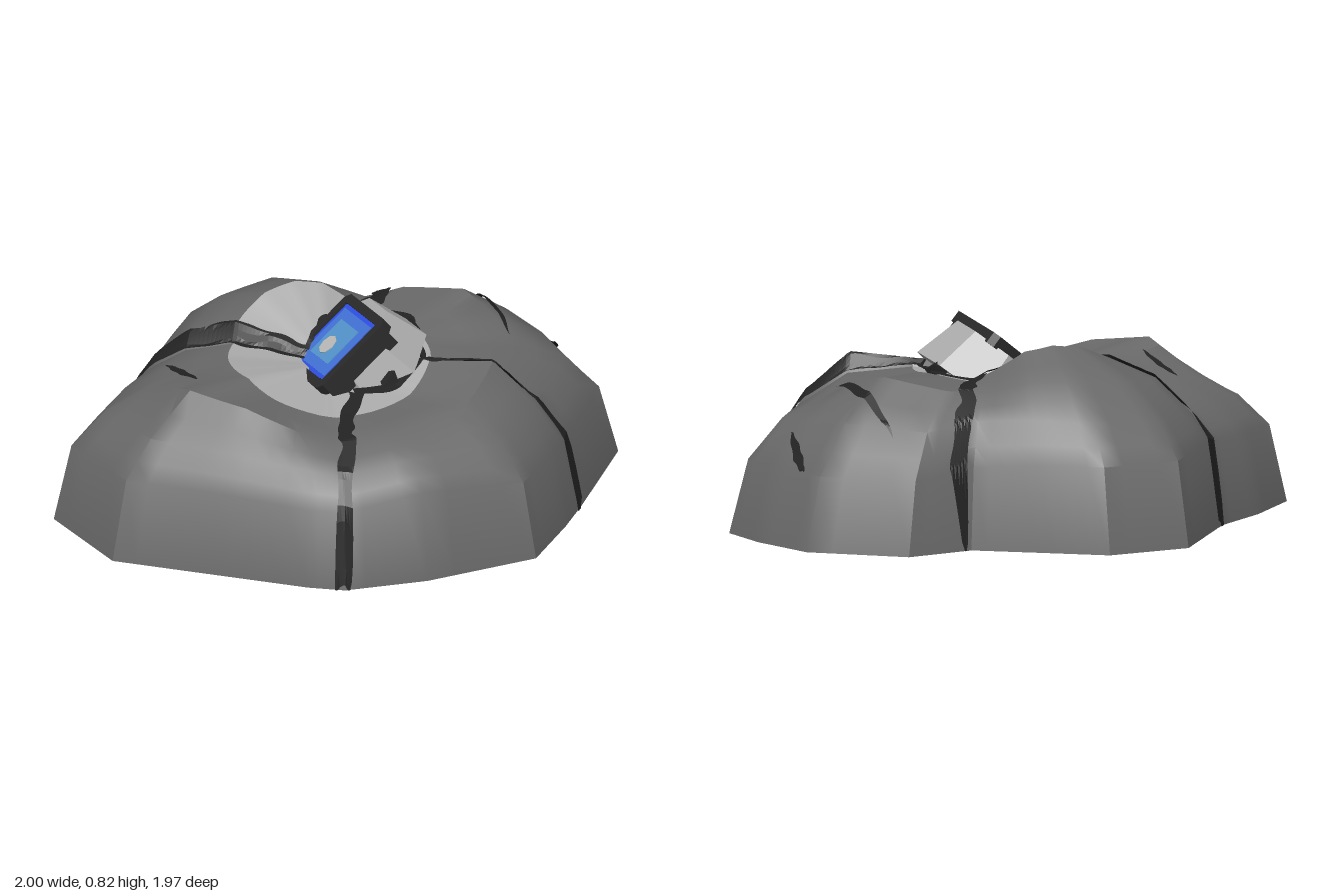
import * as THREE from 'three';
import { toCreasedNormals } from 'three/addons/utils/BufferGeometryUtils.js';

const mat = (name, color, side = THREE.FrontSide) =>
  Object.assign(new THREE.MeshStandardMaterial({ color, side }), { name });

// Boulder footprint, clockwise seen from above: x, z, then height at the hollow, crown, shoulder and flank.
// Close pairs of points make the steps along the left and right cracks.
const RIM = [
  [-0.08, -0.77, 0.66, 0.6, 0.51, 0.33], [0.12, -0.99, 0.61, 0.62, 0.48, 0.3], [0.55, -0.99, 0.62, 0.66, 0.5, 0.3],
  [0.8, -0.82, 0.62, 0.62, 0.48, 0.3], [0.97, -0.65, 0.61, 0.56, 0.46, 0.3], [0.99, -0.11, 0.6, 0.57, 0.45, 0.3],
  [0.99, -0.05, 0.62, 0.64, 0.48, 0.31], [0.99, 0.1, 0.6, 0.62, 0.47, 0.31], [0.97, 0.43, 0.55, 0.57, 0.46, 0.32],
  [0.62, 0.77, 0.53, 0.54, 0.48, 0.37], [0.33, 0.96, 0.52, 0.51, 0.44, 0.32], [0.18, 0.98, 0.53, 0.53, 0.45, 0.32],
  [-0.25, 0.98, 0.57, 0.62, 0.48, 0.34], [-0.65, 0.98, 0.62, 0.65, 0.49, 0.34], [-1, 0.67, 0.61, 0.56, 0.45, 0.32],
  [-0.97, 0.35, 0.6, 0.55, 0.45, 0.33], [-0.9, 0.07, 0.6, 0.54, 0.45, 0.34], [-0.9, 0, 0.67, 0.6, 0.48, 0.35],
  [-0.91, -0.48, 0.74, 0.63, 0.49, 0.35], [-0.65, -0.73, 0.76, 0.66, 0.51, 0.35], [-0.35, -0.75, 0.74, 0.65, 0.52, 0.35],
];
const CX = -0.02, CZ = 0.08, HOLLOW = 0.41, FLOOR = 0.57;
const KNOTS = [0, 0.43, 0.72, 0.9, 1];
const lerp = THREE.MathUtils.lerp;

// Rim values at a fractional index
function rimAt(t) {
  const i = Math.floor(t), a = RIM[i % RIM.length], b = RIM[(i + 1) % RIM.length];
  return a.map((v, k) => lerp(v, b[k], t - i));
}

// Height along one ray; f runs from the hollow (0) to the ground (1)
function profile(rim, f) {
  const h = [...rim.slice(2), 0];
  let k = 0;
  while (k < 3 && f > KNOTS[k + 1]) k++;
  return lerp(h[k], h[k + 1], (f - KNOTS[k]) / (KNOTS[k + 1] - KNOTS[k]));
}

function surface(t, f) {
  const rim = rimAt(t), dx = rim[0] - CX, dz = rim[1] - CZ, R = Math.hypot(dx, dz);
  const r = lerp(HOLLOW, R, f);
  return [CX + dx / R * r, profile(rim, f), CZ + dz / R * r];
}

// Drop a ground position onto the boulder, lifted slightly off the stone
function drape(x, z, lift = 0.013) {
  const dx = x - CX, dz = z - CZ, r = Math.hypot(dx, dz) || 1e-6;
  for (let i = 0; i < RIM.length; i++) {
    const a = RIM[i], b = RIM[(i + 1) % RIM.length];
    const ca = dx * (a[1] - CZ) - dz * (a[0] - CX), cb = dx * (b[1] - CZ) - dz * (b[0] - CX);
    const ahead = dx * (a[0] + b[0] - 2 * CX) + dz * (a[1] + b[1] - 2 * CZ) > 0;
    if (ca > 0 || cb < 0 || !ahead) continue;
    const rim = rimAt(i + ca / (ca - cb));
    const R = Math.hypot(rim[0] - CX, rim[1] - CZ);
    const f = Math.min((r - HOLLOW) / (R - HOLLOW), 1);
    const y = f < 0 ? lerp(FLOOR, rim[2], r / HOLLOW) : profile(rim, f);
    const s = Math.min(r, R) / r * (f > 0.7 ? 1.005 : 1);
    return [CX + dx * s, y + (f < 1 ? lift : 0), CZ + dz * s];
  }
  return [x, FLOOR + lift, z];
}

// Grid of points rows x cols turned into a surface
function gridGeometry(rows, cols, point) {
  const pos = [], idx = [];
  for (let j = 0; j < rows; j++) for (let i = 0; i < cols; i++) pos.push(...point(i, j));
  for (let j = 0; j < rows - 1; j++) for (let i = 0; i < cols - 1; i++) {
    const a = j * cols + i, c = a + cols;
    idx.push(a, a + 1, c, a + 1, c + 1, c);
  }
  const g = new THREE.BufferGeometry();
  g.setAttribute('position', new THREE.Float32BufferAttribute(pos, 3));
  g.setIndex(idx);
  return g;
}

// Uneven ribbon that follows the stone; tapered ones end in points
function crackGeometry(points, width, taper) {
  const steps = 40, curve = new THREE.SplineCurve(points.map(([x, z]) => new THREE.Vector2(x, z)));
  return gridGeometry(steps + 1, 7, (i, j) => {
    const u = j / steps, p = curve.getPoint(u), d = curve.getTangent(u);
    const w = width * (taper ? Math.sin(Math.PI * u) : 0.88 + 0.12 * Math.sin(j * 0.8));
    const off = (i - 3) * w / 6 + (taper ? 0.002 : 0.005) * Math.sin(j * 0.55);
    return drape(p.x - d.y * off, p.y + d.x * off);
  });
}

export function createModel() {
  const model = new THREE.Group();
  model.name = 'crackedBoulder';
  const rock = mat('rock grey', 0x6a6a6a);
  const pale = mat('pale stone', 0xacacac);
  const dark = mat('crack black', 0x232323, THREE.DoubleSide);
  const metal = mat('frame charcoal', 0x2a2a2a);
  const add = (name, geometry, material, parent = model) => {
    const m = new THREE.Mesh(geometry, material);
    m.name = name;
    parent.add(m);
    return m;
  };

  // Boulder shell and the pale hollow on top
  const SUB = 4, cols = RIM.length * SUB + 1;
  const rings = [0, 0.22, 0.43, 0.58, 0.72, 0.82, 0.9, 1];
  add('boulder', toCreasedNormals(gridGeometry(rings.length, cols,
    (i, j) => surface(i / SUB, rings[j])), 0.65), rock);
  add('hollow', toCreasedNormals(gridGeometry(4, cols, (i, j) => {
    const p = surface(i / SUB, 0), s = Math.max(j / 3, 0.001);
    return [lerp(CX, p[0], s), lerp(FLOOR, p[1], s), lerp(CZ, p[2], s)];
  }), 0.5), pale);

  // Underside with a pale patch showing through its hole
  const patch = [[-0.2, -0.16], [0.06, -0.27], [0.26, -0.12], [0.2, 0.1], [0.27, 0.2], [0, 0.23], [-0.24, 0.12]]
    .map(([x, z]) => new THREE.Vector2(x, z));
  const base = new THREE.Shape(RIM.map((p) => new THREE.Vector2(p[0], p[1])));
  base.holes.push(new THREE.Path(patch));
  add('underside', new THREE.ShapeGeometry(base).rotateX(Math.PI / 2), rock);
  add('undersidePatch', new THREE.ShapeGeometry(new THREE.Shape(patch)).rotateX(Math.PI / 2), pale);

  // Main cracks: back, right, front, left and the two around the core
  const cracks = [
    [[[-0.03, -0.8], [-0.02, -0.62], [0.01, -0.5], [0, -0.36]], 0.07],
    [[[0.99, -0.08], [0.72, -0.037], [0.5, -0.003], [0.33, 0.02]], 0.07],
    [[[0.32, 0.96], [0.26, 0.7], [0.2, 0.55], [0.16, 0.28]], 0.07],
    [[[-0.9, 0.035], [-0.6, 0.055], [-0.35, 0.068], [-0.12, 0.07]], 0.08],
    [[[0, -0.36], [0.17, -0.31], [0.25, -0.14], [0.34, 0.01], [0.28, 0.2], [0.15, 0.28]], 0.06],
    [[[0, -0.36], [-0.06, -0.22], [-0.11, -0.1], [-0.12, 0.06]], 0.025],
  ];
  for (const [pts, w] of cracks) add('crack', crackGeometry(pts, w, false), dark);

  // Short scars
  const scars = [
    [[[0.23, -0.83], [0.42, -0.64], [0.59, -0.4]], 0.035],
    [[[0.59, -0.87], [0.64, -0.79], [0.7, -0.67]], 0.03],
    [[[-0.65, 0.28], [-0.56, 0.37], [-0.44, 0.5]], 0.035],
  ];
  for (const [pts, w] of scars) add('scar', crackGeometry(pts, w, true), dark);

  // Dark shards wedged around the core: x, y, z, size
  for (const [x, y, z, s] of [[0.31, 0.61, 0.0, 0.05], [0.26, 0.57, 0.16, 0.06], [0.22, 0.63, -0.22, 0.05], [0, 0.56, 0.26, 0.04]]) {
    const shard = add('shard', new THREE.OctahedronGeometry(s), dark);
    shard.position.set(x, y, z);
    shard.rotation.set(x * 5, z * 7, 0.4);
  }

  // Tilted setting: local z points out of the gem
  const gem = new THREE.Group();
  gem.name = 'gemSetting';
  const u = new THREE.Vector3(0.554, 0.619, -0.554).normalize();
  const n = new THREE.Vector3(-0.53, 0.79, 0.35).normalize();
  const v = n.clone().cross(u).normalize();
  gem.applyMatrix4(new THREE.Matrix4().makeBasis(u, v, u.clone().cross(v)).setPosition(0.0125, 0.665, 0.085));
  model.add(gem);

  // Square frame with clipped corners, deeper along its lower front edge
  const ring = (h, c) => [[-h + c, -h], [h - c, -h], [h, -h + c], [h, h - c], [h - c, h], [-h + c, h], [-h, h - c], [-h, -h + c]]
    .map(([x, y]) => new THREE.Vector2(x, y));
  const frame = new THREE.Shape(ring(0.195, 0.025));
  frame.holes.push(new THREE.Path(ring(0.155, 0.006)));
  add('gemFrame', new THREE.ExtrudeGeometry(frame, { depth: 0.05, bevelEnabled: false }).translate(0, 0, -0.03), metal, gem);
  add('frameLip', new THREE.BoxGeometry(0.34, 0.05, 0.07), metal, gem).position.set(0, -0.17, -0.055);

  // Pale core stone carrying the frame
  const core = new THREE.CylinderGeometry(0.225, 0.28, 0.2, 8).rotateY(Math.PI / 8).rotateX(Math.PI / 2);
  add('coreStone', toCreasedNormals(core, 0.3), pale, gem).position.set(0.025, 0.025, -0.12);

  // Gem bands, from the deep rim to the bright middle
  const bands = [['gem deep blue', 0x3050e8, 0.156], ['gem blue', 0x4474da, 0.136], ['gem sky blue', 0x5596cf, 0.09]];
  bands.forEach(([name, color, h], k) => {
    const plate = add('gemBand', new THREE.BoxGeometry(2 * h, 2 * h, 0.008), mat(name, color), gem);
    plate.position.z = 0.008 + k * 0.0025;
  });
  const glint = add('gemGlint', new THREE.CylinderGeometry(0.045, 0.045, 0.008, 8).rotateX(Math.PI / 2), mat('glint grey', 0xbcbcba), gem);
  glint.position.set(-0.025, 0.02, 0.0155);

  return model;
}
